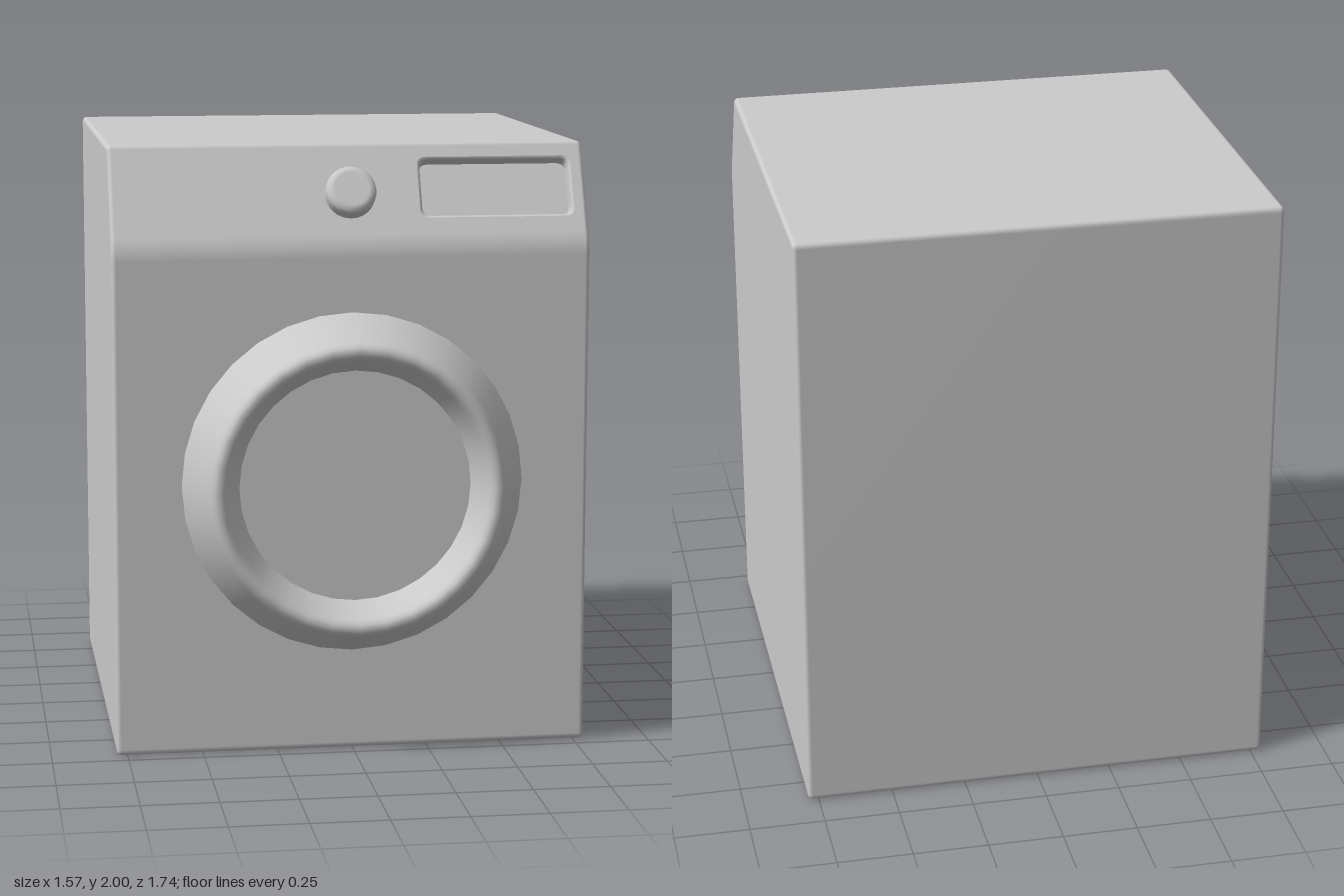
import * as THREE from 'three';
import { mergeVertices } from 'three/addons/utils/BufferGeometryUtils.js';

const HALF_W = 0.785, BEVEL = 0.015;
const SLOPE = Math.atan(0.5);
const grey = () => new THREE.MeshStandardMaterial({ color: 0xcccccc });

function add(parent, name, geometry) {
  const mesh = new THREE.Mesh(geometry, grey());
  mesh.name = name;
  parent.add(mesh);
  return mesh;
}

// Closed outline of [x, y, cut] corners, each rounded off by its cut length
function roundedOutline(corners) {
  const shape = new THREE.Shape();
  const pts = corners.map(([x, y]) => new THREE.Vector2(x, y));
  const n = pts.length;
  pts.forEach((p, i) => {
    const toward = (q) => p.clone().add(q.clone().sub(p).setLength(corners[i][2]));
    const a = toward(pts[(i + n - 1) % n]), b = toward(pts[(i + 1) % n]);
    if (i) shape.lineTo(a.x, a.y); else shape.moveTo(a.x, a.y);
    shape.quadraticCurveTo(p.x, p.y, b.x, b.y);
  });
  shape.closePath();
  return shape;
}

// Rounded cabinet, left open on the slope where the control panel sits
function cabinetGeometry() {
  const profile = roundedOutline([
    [-0.87, 0, 0.02], [0.70, 0, 0.02], [0.70, 1.68, 0.04], [0.54, 2, 0.012], [-0.87, 2, 0.02],
  ]);
  const depth = 2 * (HALF_W - BEVEL);
  let g = new THREE.ExtrudeGeometry(profile, {
    depth, curveSegments: 4, bevelEnabled: true, bevelSegments: 3,
    bevelSize: BEVEL, bevelThickness: BEVEL, bevelOffset: -BEVEL,
  });
  g.translate(0, 0, -depth / 2).rotateY(-Math.PI / 2);
  g.deleteAttribute('uv');
  g.deleteAttribute('normal');
  g.clearGroups();
  g = mergeVertices(g, 1e-5);
  g.computeVertexNormals();
  const p = g.attributes.position, src = g.index.array, kept = [];
  for (let i = 0; i < src.length; i += 3) {
    const tri = [src[i], src[i + 1], src[i + 2]];
    const mean = (get) => tri.reduce((s, v) => s + p[get](v), 0) / 3;
    const y = mean('getY');
    const onSlope = Math.abs(mean('getX')) < 0.5 && y > 1.75 && y < 1.95 && mean('getZ') > 0;
    if (!onSlope) kept.push(...tri);
  }
  g.setIndex(kept);
  return g;
}

// Tray outline, shrunk by an inset
const trayOutline = (inset) => roundedOutline([
  [0.228 + inset, -0.084 + inset, 0.03], [0.742 - inset, -0.084 + inset, 0.03],
  [0.742 - inset, 0.129 - inset, 0.03], [0.228 + inset, 0.129 - inset, 0.03],
]);

// Walls running from the rim of the tray down to its floor
function trayWalls(levels) {
  const positions = [], index = [];
  let n = 0;
  levels.forEach(([inset, z]) => {
    const loop = trayOutline(inset).getPoints(6).slice(0, -1);
    n = loop.length;
    loop.forEach((p) => positions.push(p.x, p.y, z));
  });
  for (let r = 0; r < levels.length - 1; r++) {
    for (let i = 0; i < n; i++) {
      const j = (i + 1) % n, a = r * n + i, b = r * n + j;
      index.push(a, b, a + n, b, b + n, a + n);
    }
  }
  const g = new THREE.BufferGeometry();
  g.setAttribute('position', new THREE.Float32BufferAttribute(positions, 3));
  g.setIndex(index);
  g.computeVertexNormals();
  return g;
}

// Turned part with its axis along z, from [radius, z] points
function turned(points, segments) {
  return new THREE.LatheGeometry(points.map(([r, z]) => new THREE.Vector2(r, z)), segments)
    .rotateX(Math.PI / 2);
}

export function createModel() {
  const model = new THREE.Group();
  model.name = 'washingMachine';
  add(model, 'cabinet', cabinetGeometry());

  // Sloped control panel: local z points out of the slope
  const panel = new THREE.Group();
  panel.name = 'controlPanel';
  panel.position.set(0, 1.84, 0.62);
  panel.rotation.x = -SLOPE;
  model.add(panel);

  const w = HALF_W - BEVEL, low = -0.1389, high = 0.1669;
  const face = new THREE.Shape([[-w, low], [w, low], [w, high], [-w, high]]
    .map(([x, y]) => new THREE.Vector2(x, y)));
  face.holes.push(trayOutline(0));
  add(panel, 'panelFace', new THREE.ShapeGeometry(face, 6));
  const levels = [[0, 0], [0.005, -0.002], [0.009, -0.008], [0.012, -0.04]];
  add(panel, 'trayWalls', trayWalls(levels));
  add(panel, 'trayFloor', new THREE.ShapeGeometry(trayOutline(0.012), 6)).position.z = -0.04;

  // Dial with a rounded rim
  add(panel, 'dial', turned([
    [0.083, -0.005], [0.083, 0.033], [0.081, 0.042], [0.074, 0.050],
    [0.064, 0.054], [0.058, 0.055], [0, 0.055],
  ], 32));

  // Door ring and window
  const door = new THREE.Group();
  door.name = 'door';
  door.position.y = 0.9;
  model.add(door);
  add(door, 'doorRing', turned([
    [0.565, 0.698], [0.49, 0.84], [0.482, 0.855], [0.471, 0.866], [0.457, 0.87],
    [0.443, 0.866], [0.432, 0.855], [0.424, 0.84], [0.38, 0.757],
  ], 32));
  add(door, 'doorWindow', new THREE.CircleGeometry(0.385, 32)).position.z = 0.76;
  return model;
}
